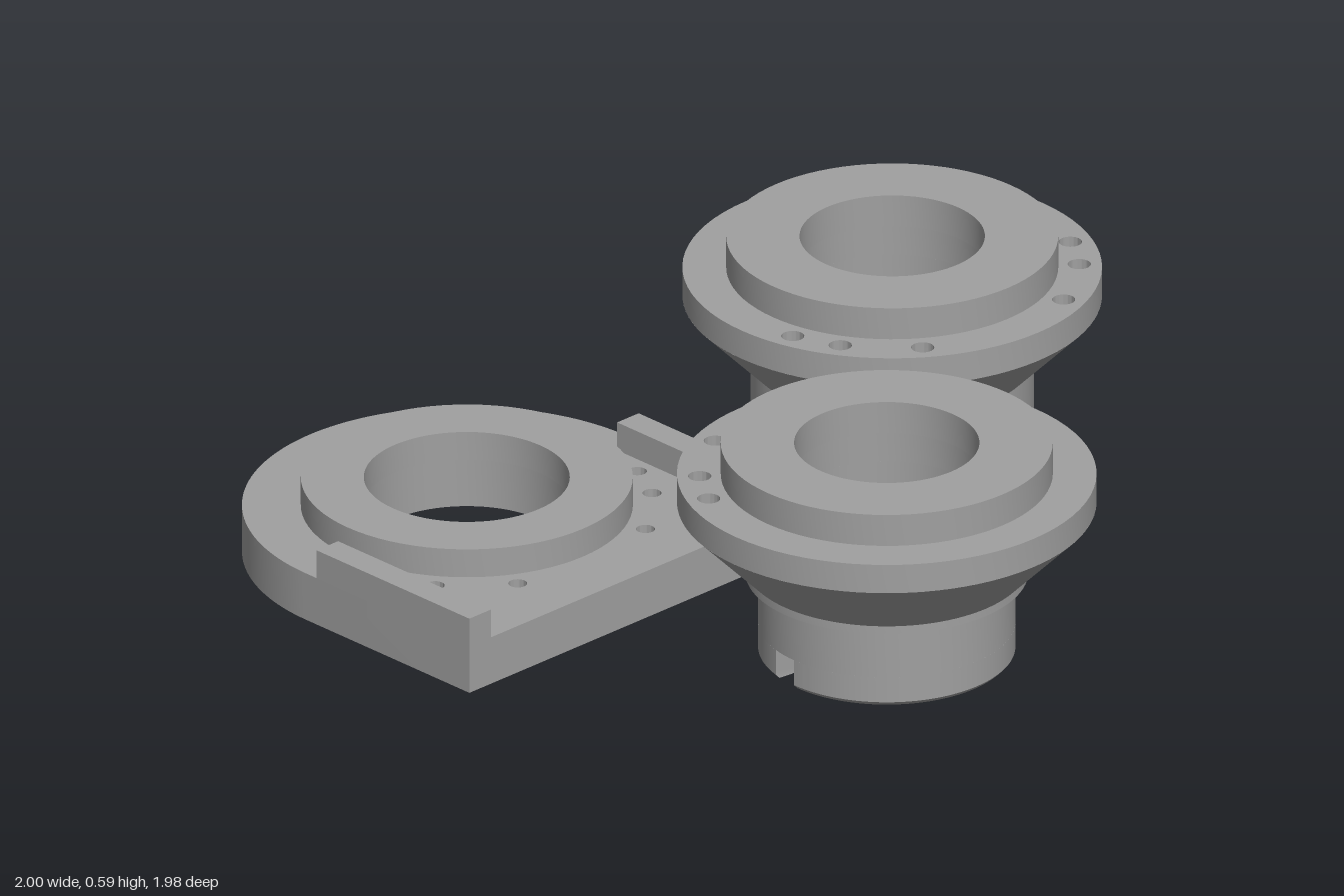
import * as THREE from 'three';
import { toCreasedNormals } from 'three/addons/utils/BufferGeometryUtils.js';

const grey = new THREE.MeshStandardMaterial({ color: 0xa0a0a0 });
grey.name = 'plainGrey';

const DEG = Math.PI / 180;
const BORE = 0.216, FOOT = 0.3, NECK = 0.33, FLANGE = 0.489, RING = 0.387;

function part(name, geometry) {
  const mesh = new THREE.Mesh(toCreasedNormals(geometry, 0.5), grey);
  mesh.name = name;
  return mesh;
}

// Points on a circle; angles run from +x towards +z
const polar = (r, deg) => [r * Math.cos(deg * DEG), r * Math.sin(deg * DEG)];

// Cut round holes, given as [x, z], into a shape whose y is -z
function drill(shape, centres, r) {
  for (const [x, z] of centres) {
    shape.holes.push(new THREE.Path().absarc(x, -z, r, 0, Math.PI * 2, true));
  }
  return shape;
}

const disc = (r) => new THREE.Shape().absarc(0, 0, r, 0, Math.PI * 2, false);

// Upright slab from y0 to y1, optionally chamfered around its lower rim
function slab(name, shape, y0, y1, chamfer = false) {
  const steps = chamfer ? Math.round((y1 - y0) / 0.0105) : 1;
  const g = new THREE.ExtrudeGeometry(shape, { depth: y1 - y0, steps, bevelEnabled: false, curveSegments: 40 });
  g.rotateX(-Math.PI / 2);
  if (chamfer) {
    const p = g.attributes.position;
    for (let i = 0; i < p.count; i++) {
      const r = Math.hypot(p.getX(i), p.getZ(i));
      if (p.getY(i) < 0.001 && r > FOOT - 0.005) {
        p.setX(i, p.getX(i) * (FOOT - 0.01) / r);
        p.setZ(i, p.getZ(i) * (FOOT - 0.01) / r);
      }
    }
  }
  g.translate(0, y0, 0);
  return part(name, g);
}

// Solid of revolution from a closed section
function turned(name, section) {
  const pts = [...section, section[0]].map(([r, y]) => new THREE.Vector2(r, y));
  return part(name, new THREE.LatheGeometry(pts, 96));
}

// Six bolt holes placed in two mirrored groups about an axis
const boltCircle = (axis) => [-70, -54, -28.5, 28.5, 54, 70].map((a) => polar(0.436, axis + a));

// Drilled flange and raised ring shared by both hubs
function addHubTop(group, y, axis) {
  const flange = drill(drill(disc(FLANGE), [[0, 0]], BORE), boltCircle(axis), 0.027);
  group.add(slab('flange', flange, y, y + 0.073));
  group.add(slab('raisedRing', drill(disc(RING), [[0, 0]], BORE), y + 0.073, y + 0.153));
}

// Open hub with a slotted foot
function slottedHub() {
  const g = new THREE.Group();
  g.name = 'slottedHub';
  const notchTop = 0.075, half = 0.035;
  const a = Math.asin(half / FOOT), b = Math.asin(half / BORE);
  for (const turn of [-142 * DEG, 38 * DEG]) {
    const s = new THREE.Shape();
    s.absarc(0, 0, FOOT, turn + a, turn + Math.PI - a, false);
    s.absarc(0, 0, BORE, turn + Math.PI - b, turn + b, true);
    s.closePath();
    drill(s, [polar(0.258, -(turn / DEG + 90))], 0.022);
    g.add(slab('slottedFoot', s, 0, notchTop, true));
  }
  g.add(turned('coneBody', [
    [BORE, notchTop], [FOOT, notchTop], [FOOT, 0.203], [NECK, 0.203],
    [NECK, 0.222], [FLANGE, 0.385], [BORE, 0.385],
  ]));
  addHubTop(g, 0.385, 231.4);
  g.position.set(0.51, 0, 0.497);
  return g;
}

// Hub with a closed, drilled floor
function flooredHub() {
  const g = new THREE.Group();
  g.name = 'flooredHub';
  const three = (r, start) => [0, 120, 240].map((t) => polar(r, start + t));
  const small = three(0.078, 51.4), large = three(0.135, 111.4);
  const base = drill(drill(disc(FOOT), small, 0.02), large, 0.038);
  g.add(slab('foot', base, 0, 0.05, true));
  g.add(slab('footMiddle', drill(disc(FOOT), small, 0.02), 0.05, 0.08));
  g.add(slab('boreFloor', drill(disc(FOOT), small, 0.037), 0.08, 0.115));
  g.add(turned('coneBody', [
    [BORE, 0.115], [NECK, 0.115], [NECK, 0.271], [FLANGE, 0.434], [BORE, 0.434],
  ]));
  addHubTop(g, 0.434, 51.4);
  g.position.set(0.51, 0, -0.505);
  return g;
}

// Flat mounting plate with a round end, a square end and two ears
function mountingPlate() {
  const g = new THREE.Group();
  g.name = 'mountingPlate';
  const R = 0.524, end = 0.546, top = 0.12, high = 0.192, bore = 0.24;
  const s = new THREE.Shape();
  s.absarc(0, 0, R, Math.PI / 2, Math.PI * 1.5, false);
  s.lineTo(end, -R);
  s.lineTo(end, R);
  s.closePath();
  drill(drill(s, [[0, 0]], bore), boltCircle(0), 0.022);
  g.add(slab('plate', s, 0, top));
  g.add(slab('plateRing', drill(disc(RING), [[0, 0]], bore), top, high));
  const earStart = 0.036, earWidth = 0.07;
  for (const side of [-1, 1]) {
    const ear = part('ear', new THREE.BoxGeometry(end - earStart, high - top, earWidth));
    ear.position.set((end + earStart) / 2, (high + top) / 2, side * (R - earWidth / 2));
    g.add(ear);
  }
  g.rotation.y = -45 * DEG;
  g.position.set(-0.475, 0, -0.02);
  return g;
}

export function createModel() {
  const model = new THREE.Group();
  model.name = 'hubSet';
  model.add(slottedHub(), flooredHub(), mountingPlate());
  return model;
}
